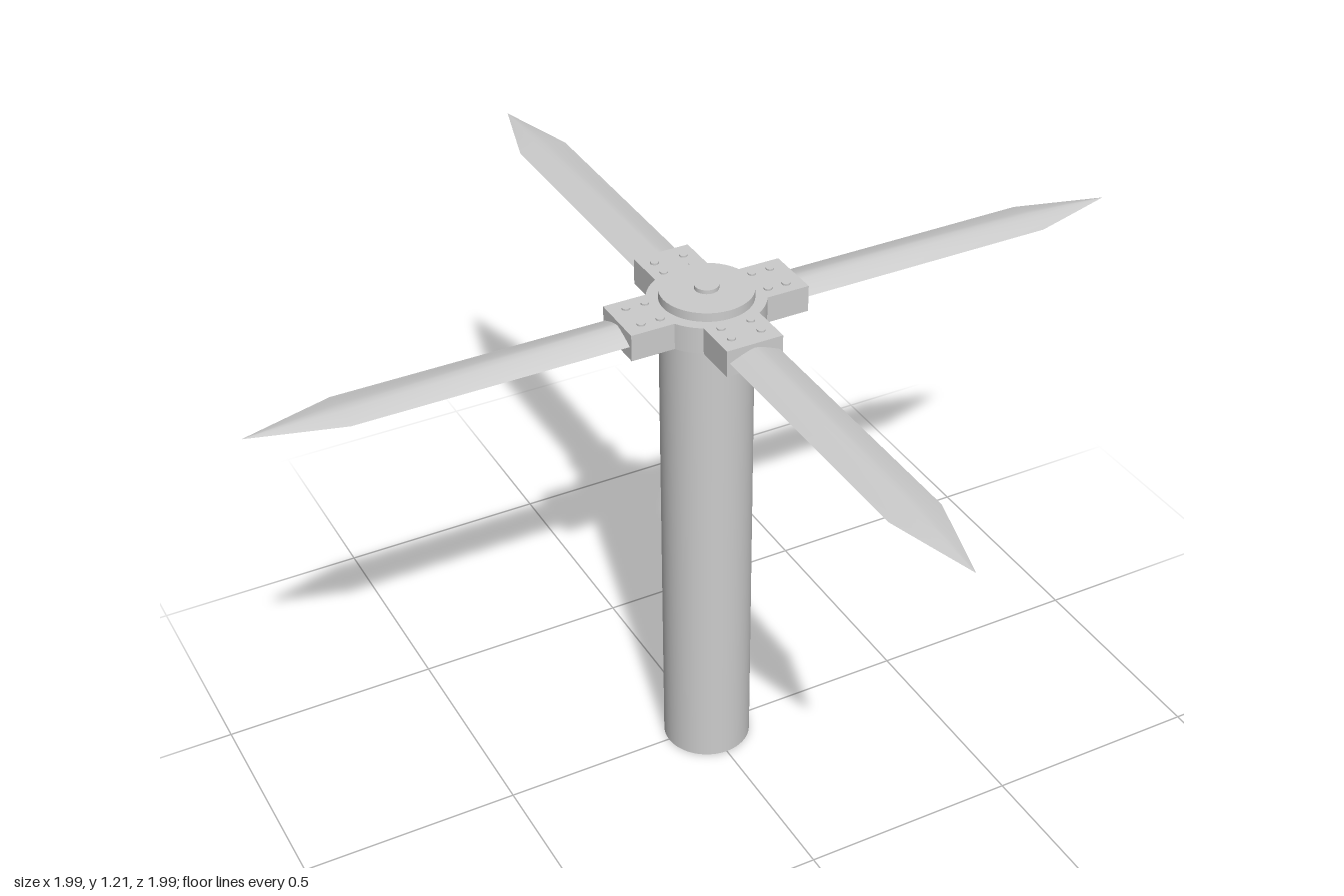
import * as THREE from 'three';

const grey = new THREE.MeshStandardMaterial({ color: 0xcccccc });
const greyOpen = new THREE.MeshStandardMaterial({ color: 0xcccccc, side: THREE.DoubleSide });
const BLADE_Y = 1.15;

function add(parent, name, geometry, x, y, z, material = grey) {
  const mesh = new THREE.Mesh(geometry, material);
  mesh.name = name;
  mesh.position.set(x, y, z);
  parent.add(mesh);
  return mesh;
}

// Cross-shaped hub: four square arms joined by arcs of a round core
function hubGeometry() {
  const core = 0.125, half = 0.064, reach = 0.205;
  const a = Math.asin(half / core);
  const shape = new THREE.Shape();
  for (let i = 0; i < 4; i++) {
    const q = i * Math.PI / 2, c = Math.cos(q), s = Math.sin(q);
    const lo = [reach * c + half * s, reach * s - half * c];
    const hi = [reach * c - half * s, reach * s + half * c];
    if (i === 0) shape.moveTo(...lo); else shape.lineTo(...lo);
    shape.lineTo(...hi);
    shape.lineTo(core * Math.cos(q + a), core * Math.sin(q + a));
    shape.absarc(0, 0, core, q + a, q + Math.PI / 2 - a, false);
  }
  shape.closePath();
  const geometry = new THREE.ExtrudeGeometry(shape, { depth: 0.06, bevelEnabled: false, curveSegments: 8 });
  return geometry.rotateX(-Math.PI / 2);
}

// One skin of a blade along +x; side is 1 for the upper skin, -1 for the lower
function bladeSkin(side) {
  // distance from the axis, half width, half thickness
  const stations = [[0.19, 0.057, 0.021], [0.5, 0.057, 0.018], [0.8, 0.057, 0.012], [0.9, 0.0285, 0.007], [0.997, 0.0005, 0.0003]];
  const n = 8, positions = [], index = [];
  stations.forEach(([x, w, h], i) => {
    for (let j = 0; j <= n; j++) {
      const t = -1 + 2 * j / n;
      positions.push(x, side * h * (1 - Math.pow(Math.abs(t), 1.3)), t * w);
      if (i && j) {
        const d = i * (n + 1) + j, c = d - 1, b = d - n - 1, a = b - 1;
        if (side > 0) index.push(a, b, c, b, d, c);
        else index.push(a, c, b, b, c, d);
      }
    }
  });
  const geometry = new THREE.BufferGeometry();
  geometry.setAttribute('position', new THREE.Float32BufferAttribute(positions, 3));
  geometry.setIndex(index);
  geometry.computeVertexNormals();
  return geometry;
}

export function createModel() {
  const model = new THREE.Group();
  model.name = 'fourBladeRotor';

  // Hollow post, open at the foot
  add(model, 'post', new THREE.CylinderGeometry(0.1, 0.1, 1.13, 48, 1, true), 0, 0.565, 0, greyOpen);

  // Hub, round cap and centre bolt
  add(model, 'hub', hubGeometry(), 0, 1.12, 0);
  add(model, 'cap', new THREE.CylinderGeometry(0.1, 0.1, 0.02, 48), 0, 1.19, 0);
  add(model, 'centreBolt', new THREE.CylinderGeometry(0.026, 0.026, 0.01, 24), 0, 1.204, 0);

  // Four blades, each held by four small bolts
  const upper = bladeSkin(1), lower = bladeSkin(-1);
  const boltGeometry = new THREE.CylinderGeometry(0.009, 0.009, 0.008, 12);
  for (let i = 0; i < 4; i++) {
    const arm = new THREE.Group();
    arm.name = 'bladeArm' + (i + 1);
    arm.rotation.y = i * Math.PI / 2;
    add(arm, 'bladeTop', upper, 0, BLADE_Y, 0);
    add(arm, 'bladeUnderside', lower, 0, BLADE_Y, 0);
    for (const x of [0.125, 0.168])
      for (const z of [-0.034, 0.034]) add(arm, 'clampBolt', boltGeometry, x, 1.18, z);
    model.add(arm);
  }
  return model;
}
